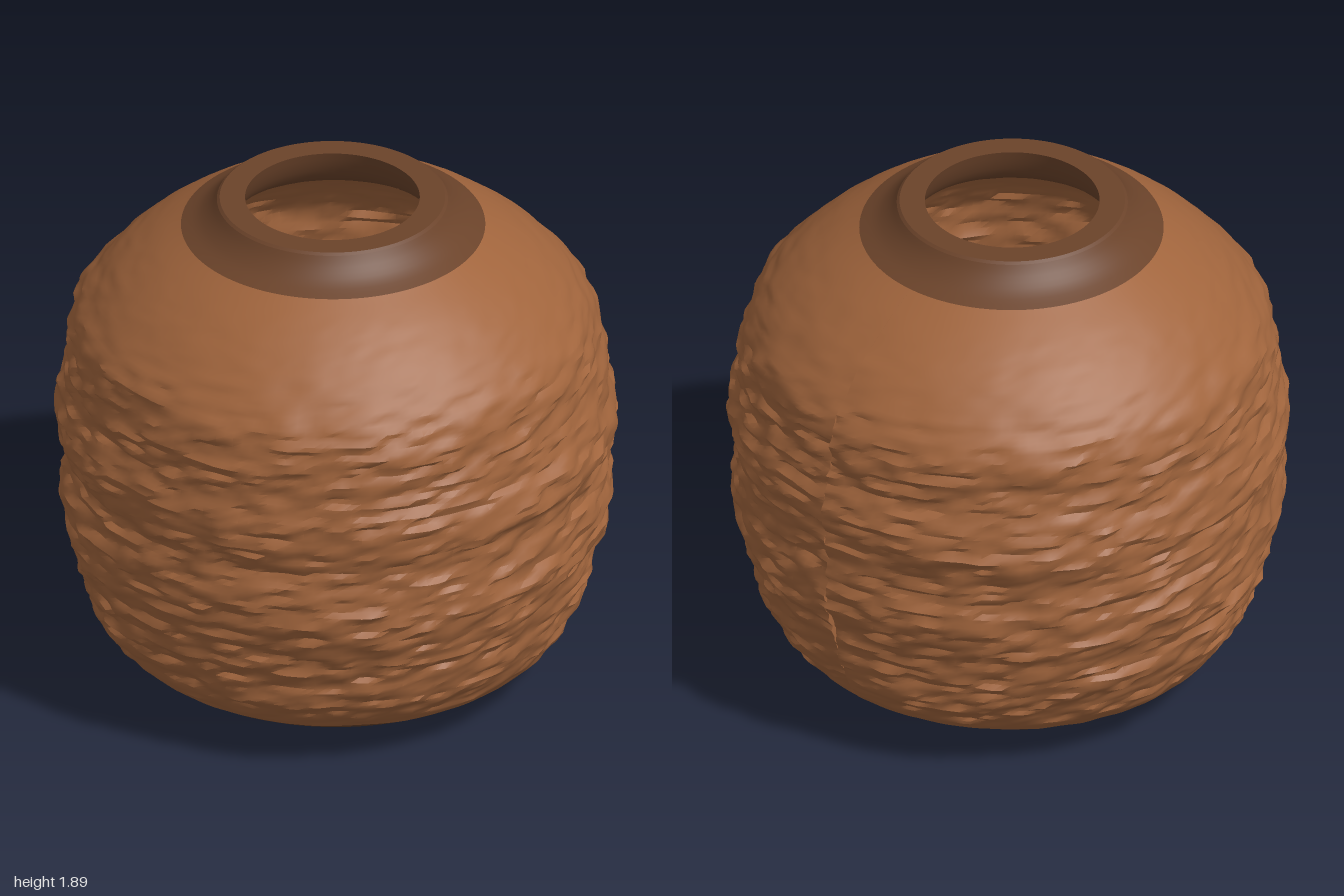
import * as THREE from 'three';
import { toCreasedNormals } from 'three/addons/utils/BufferGeometryUtils.js';

const COLUMNS = 180;
const { smoothstep, lerp } = THREE.MathUtils;

// repeatable hash and smooth value noise
function hash(i, j) {
  const s = Math.sin(i * 127.1 + j * 311.7) * 43758.5453;
  return s - Math.floor(s);
}
function noise(u, v) {
  const i = Math.floor(u), j = Math.floor(v);
  const a = smoothstep(u - i, 0, 1), b = smoothstep(v - j, 0, 1);
  return lerp(lerp(hash(i, j), hash(i + 1, j), a), lerp(hash(i, j + 1), hash(i + 1, j + 1), a), b) - 0.5;
}

// rough, slightly slanting scrapes in the clay, fading out at base and shoulder
function roughness(t, y) {
  const fade = smoothstep(y, 0.08, 0.3) * (1 - smoothstep(y, 1.3, 1.6) * 0.8) * (1 - smoothstep(y, 1.6, 1.8));
  const slant = y + t * 0.35;
  const broad = noise(t * 14, slant * 9) * 0.02;
  const scrapes = noise(t * 58, slant * 34) * 0.03;
  const chips = noise(t * 110, slant * 70 + 40) * 0.012;
  return fade * (broad + scrapes + chips);
}

// sweeps a profile round the axis; the last column closes against the first as a small seam
function turned(name, points, color) {
  const position = [], index = [], rows = points.length, cols = COLUMNS + 1;
  for (let i = 0; i < cols; i++) {
    const t = i / COLUMNS, angle = t * Math.PI * 2;
    for (const p of points) {
      const r = p.x > 0.001 ? p.x + roughness(t, p.y) : 0;
      const shift = -0.01 - 0.02 * smoothstep(p.y, 1.5, 1.9);
      position.push(shift + r * Math.cos(angle), p.y, r * Math.sin(angle));
    }
  }
  for (let i = 0; i < cols; i++) {
    for (let j = 0; j < rows - 1; j++) {
      const a = i * rows + j, b = ((i + 1) % cols) * rows + j;
      index.push(a, a + 1, b, a + 1, b + 1, b);
    }
  }
  const geometry = new THREE.BufferGeometry();
  geometry.setAttribute('position', new THREE.Float32BufferAttribute(position, 3));
  geometry.setIndex(index);
  const mesh = new THREE.Mesh(toCreasedNormals(geometry, 0.55), new THREE.MeshStandardMaterial({ color }));
  mesh.name = name;
  return mesh;
}

const toPoints = list => list.map(([x, y]) => new THREE.Vector2(x, y));
const smooth = (list, n) => new THREE.SplineCurve(toPoints(list)).getSpacedPoints(n);

export function createModel() {
  const pot = new THREE.Group();
  pot.name = 'clayPot';
  const clay = 0xa0643c, dark = 0x6b432a;

  // underside and foot
  pot.add(turned('underside', toPoints([[0, 0], [0.42, 0]]), dark));
  pot.add(turned('foot', smooth([[0.42, 0], [0.53, 0.04], [0.66, 0.095], [0.75, 0.15]], 8), dark));

  // bulging body with two soft swells
  pot.add(turned('body', smooth([
    [0.75, 0.15], [0.81, 0.21], [0.87, 0.31], [0.905, 0.41], [0.935, 0.53], [0.97, 0.65], [0.975, 0.75],
    [0.967, 0.87], [0.99, 0.98], [0.987, 1.08], [0.962, 1.18], [0.95, 1.3], [0.93, 1.41],
    [0.87, 1.5], [0.78, 1.6], [0.66, 1.7], [0.54, 1.78],
  ], 110), clay));

  // dark neck and flat rim
  pot.add(turned('neck', smooth([[0.54, 1.78], [0.48, 1.81], [0.435, 1.85], [0.41, 1.885]], 8), dark));
  pot.add(turned('rim', toPoints([[0.41, 1.885], [0.4, 1.893], [0.31, 1.893]]), dark));

  // hollow inside
  pot.add(turned('innerNeck', smooth([[0.31, 1.893], [0.33, 1.83], [0.37, 1.76], [0.45, 1.7]], 8), dark));
  pot.add(turned('innerWall', smooth([
    [0.45, 1.7], [0.57, 1.63], [0.7, 1.53], [0.8, 1.42], [0.85, 1.3], [0.86, 1.18], [0.89, 1.02],
    [0.87, 0.85], [0.87, 0.68], [0.82, 0.45], [0.76, 0.3], [0.64, 0.18], [0.4, 0.1],
  ], 80), clay));
  pot.add(turned('innerFloor', toPoints([[0.4, 0.1], [0, 0.1]]), clay));

  return pot;
}
